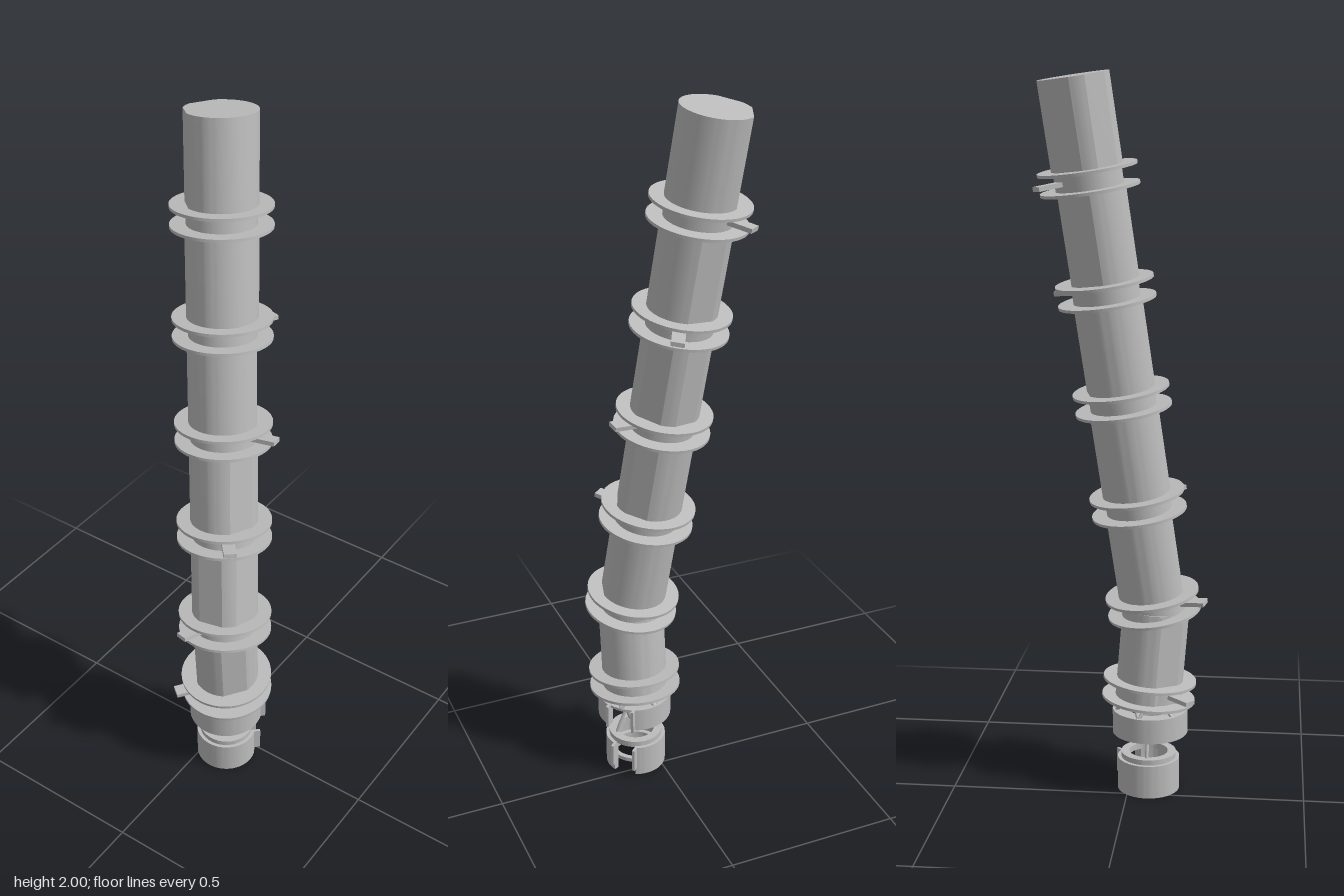
import * as THREE from 'three';
import { toCreasedNormals } from 'three/addons/utils/BufferGeometryUtils.js';

const grey = new THREE.MeshStandardMaterial({ color: 0xbcbcbc });
grey.name = 'plain grey';

const rad = THREE.MathUtils.degToRad;

function add(parent, name, geometry, x = 0, y = 0, z = 0) {
  const mesh = new THREE.Mesh(geometry, grey);
  mesh.name = name;
  mesh.position.set(x, y, z);
  parent.add(mesh);
  return mesh;
}

// Extrudes a plan outline upward; plan angles run from +x toward +z
function extrudeUp(points, height, holes = []) {
  const shape = new THREE.Shape(points);
  shape.holes.push(...holes);
  const g = new THREE.ExtrudeGeometry(shape, { depth: height, bevelEnabled: false, curveSegments: 48 });
  g.rotateX(-Math.PI / 2);
  return toCreasedNormals(g, rad(15));
}
const polar = (r, deg) => new THREE.Vector2(r * Math.cos(rad(deg)), -r * Math.sin(rad(deg)));

// Round column with shallow flats cut along its length
function flattedColumn(r, height, flats) {
  const points = [];
  for (let a = 0; a < 360; a += 5) {
    const inFlat = flats.some((f) => {
      const d = ((a - f) % 360 + 540) % 360 - 180;
      return Math.abs(d) < 19;
    });
    if (!inFlat) points.push(polar(r, a));
  }
  return extrudeUp(points.reverse(), height);
}

// Ring wall with an opening
function openRing(ro, ri, height, gapAt, gapHalf) {
  const points = [];
  const steps = 60, span = 360 - 2 * gapHalf;
  for (let i = 0; i <= steps; i++) points.push(polar(ro, gapAt + gapHalf + (span * i) / steps));
  for (let i = steps; i >= 0; i--) points.push(polar(ri, gapAt + gapHalf + (span * i) / steps));
  return extrudeUp(points.reverse(), height);
}

// Full flat ring
function washer(ro, ri, height) {
  const shape = new THREE.Path().absarc(0, 0, ri, 0, Math.PI * 2, true);
  const points = [];
  for (let a = 0; a < 360; a += 6) points.push(polar(ro, -a));
  return extrudeUp(points, height, [shape]);
}

function rod(points, r) {
  const curve = new THREE.CatmullRomCurve3(points.map((p) => new THREE.Vector3(...p)));
  return new THREE.TubeGeometry(curve, 24, r, 8);
}

// Pair of flanges with a tab between them
function flangePair(parent, low, high, tabAngle) {
  const pair = new THREE.Group();
  pair.name = 'flangePair';
  parent.add(pair);
  for (const y of [low, high]) add(pair, 'flange', new THREE.CylinderGeometry(0.132, 0.132, 0.008, 64), 0, y, 0);
  add(pair, 'spool', new THREE.CylinderGeometry(0.09, 0.09, high - low, 48), 0, (low + high) / 2, 0);
  const a = rad(tabAngle);
  const tab = add(pair, 'tab', new THREE.BoxGeometry(0.07, 0.012, 0.036),
    0.122 * Math.cos(a), (low + high) / 2, 0.122 * Math.sin(a));
  tab.rotation.y = -a;
}

function tilted(parent, name, position, direction) {
  const g = new THREE.Group();
  g.name = name;
  g.position.set(...position);
  g.quaternion.setFromUnitVectors(new THREE.Vector3(0, 1, 0), new THREE.Vector3(...direction).normalize());
  parent.add(g);
  return g;
}

export function createModel() {
  const model = new THREE.Group();
  model.name = 'jointedColumn';

  // Long leaning arm, five flange pairs counted from the top
  const arm = tilted(model, 'upperArm', [0.062, 0.55, 0.068], [-0.107, 1, -0.138]);
  const top = 1.457, pitch = 0.298;
  const tabs = [-127, -64, -8, 49, 107];
  let end = top;
  for (let i = 0; i < 5; i++) {
    const high = 1.22 - pitch * i, low = high - 0.052;
    const flat = -158 + 60 * i;
    add(arm, 'armSection', flattedColumn(0.094, end - high, [flat, flat - 67]), 0, high, 0);
    flangePair(arm, low, high, tabs[i]);
    end = low;
  }

  // Short lower section leaning the other way
  const lower = tilted(model, 'lowerSection', [0.06, 0.262, 0.054], [0.01, 1, 0.08]);
  add(lower, 'lowerColumn', flattedColumn(0.094, 0.275, [38, 142]));
  flangePair(lower, 0.01, 0.064, 128);

  // Open collar under the column
  const collar = new THREE.Group();
  collar.name = 'collar';
  collar.position.set(0.06, 0, 0.06);
  model.add(collar);
  add(collar, 'collarWall', openRing(0.107, 0.09, 0.07, -45, 22), 0, 0.17, 0);
  add(collar, 'collarTop', washer(0.1, 0.06, 0.008), 0, 0.228, 0);
  for (let i = 0; i < 6; i++) {
    for (const s of [-1, 1]) {
      const a = rad(i * 60 + 15), b = a + s * 0.28;
      add(collar, 'strut', rod([
        [0.098 * Math.cos(a), 0.235, 0.098 * Math.sin(a)],
        [0.075 * Math.cos(b), 0.28, 0.075 * Math.sin(b)]], 0.005));
    }
  }

  // Hollow foot with an opening and a rim
  const foot = new THREE.Group();
  foot.name = 'foot';
  foot.position.set(0.059, 0, 0.056);
  model.add(foot);
  add(foot, 'footWall', openRing(0.088, 0.073, 0.095, -45, 22));
  add(foot, 'footRim', washer(0.078, 0.055, 0.018), 0, 0.092, 0);
  add(foot, 'footInnerRing', washer(0.074, 0.06, 0.012), 0, 0.035, 0);

  // Cheeks beside the openings
  for (const [parent, r, y, h] of [[foot, 0.09, 0.06, 0.07], [collar, 0.105, 0.205, 0.07]]) {
    for (const s of [-1, 1]) {
      const a = rad(-45 + s * 22);
      const cheek = add(parent, 'cheek', new THREE.BoxGeometry(0.03, h, 0.008), r * Math.cos(a), y, r * Math.sin(a));
      cheek.rotation.y = rad(45);
    }
  }

  // Interlocked rods joining foot and collar
  add(foot, 'footArch', rod([[-0.062, 0.1, 0], [-0.045, 0.145, 0], [-0.025, 0.185, 0], [0, 0.2, 0],
    [0.025, 0.185, 0], [0.045, 0.145, 0], [0.062, 0.1, 0]], 0.005));
  const loop = add(collar, 'collarLoop', rod([[-0.065, 0.235, 0], [-0.045, 0.185, 0], [-0.025, 0.155, 0], [0, 0.145, 0],
    [0.025, 0.155, 0], [0.045, 0.185, 0], [0.065, 0.235, 0]], 0.005));
  loop.rotation.y = rad(45);

  return model;
}
